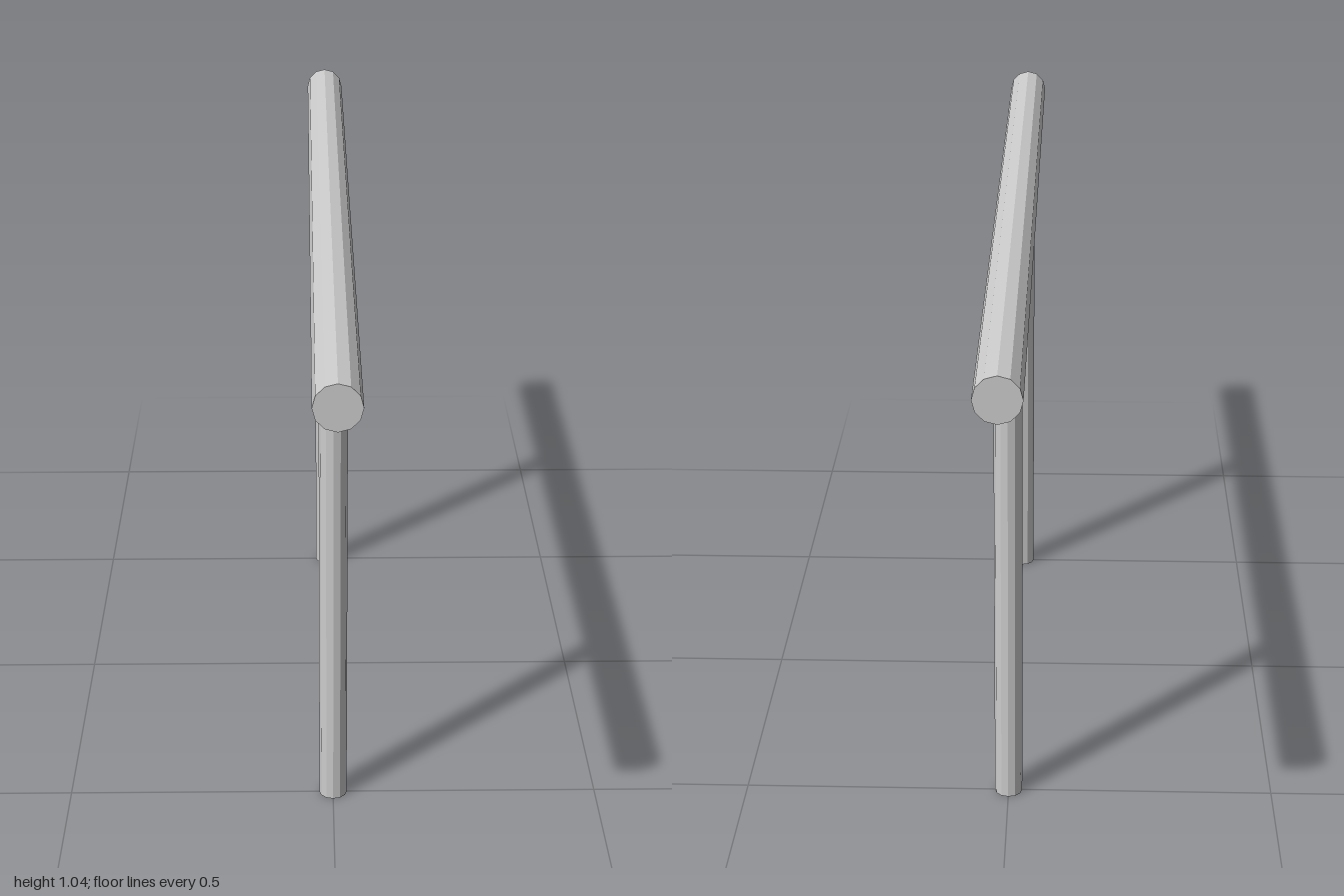
import * as THREE from 'three';

export function createModel() {
  const group = new THREE.Group();
  const material = new THREE.MeshStandardMaterial({ color: 0xcccccc, flatShading: true });

  // Horizontal rail running front to back
  const rail = new THREE.Mesh(new THREE.CylinderGeometry(0.04, 0.04, 2, 12), material);
  rail.name = 'handRail';
  rail.rotation.x = Math.PI / 2;
  rail.position.y = 1;
  group.add(rail);

  // Two posts, reaching into the centre of the rail
  const postGeometry = new THREE.CylinderGeometry(0.026, 0.026, 1, 12);
  for (const [name, z] of [['frontPost', 0.5], ['backPost', -0.5]]) {
    const post = new THREE.Mesh(postGeometry, material);
    post.name = name;
    post.position.set(0, 0.5, z);
    group.add(post);
  }

  return group;
}
